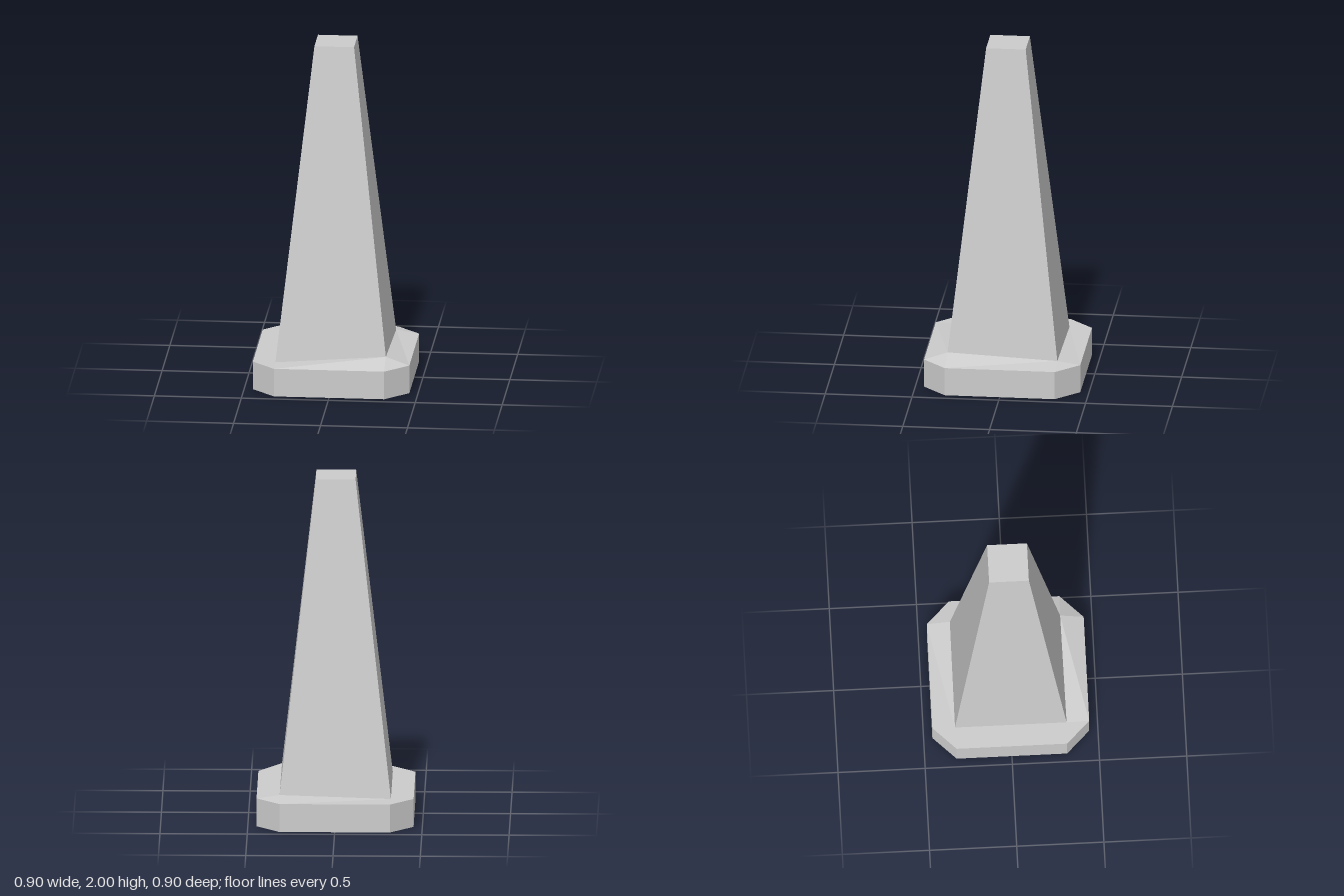
import * as THREE from 'three';

// Joins closed loops of equal length into flat-shaded bands, skipping collapsed triangles.
function loft(loops, capStart, capEnd) {
  const pos = [];
  const tri = (a, b, c) => {
    const area = b.clone().sub(a).cross(c.clone().sub(a)).length();
    if (area > 1e-7) for (const p of [a, b, c]) pos.push(p.x, p.y, p.z);
  };
  for (let k = 0; k < loops.length - 1; k++) {
    const lo = loops[k], hi = loops[k + 1], n = lo.length;
    for (let i = 0; i < n; i++) {
      const j = (i + 1) % n;
      tri(lo[i], lo[j], hi[j]);
      tri(lo[i], hi[j], hi[i]);
    }
  }
  const first = loops[0], last = loops[loops.length - 1];
  for (let i = 1; i < first.length - 1; i++) {
    if (capStart) tri(first[0], first[i + 1], first[i]);
    if (capEnd) tri(last[0], last[i], last[i + 1]);
  }
  const geo = new THREE.BufferGeometry();
  geo.setAttribute('position', new THREE.Float32BufferAttribute(pos, 3));
  geo.computeVertexNormals();
  return geo;
}

// Corner signs, anticlockwise seen from above, starting at front left.
const CORNERS = [[1, 1], [1, -1], [-1, -1], [-1, 1]];
const BASE_H = 0.165, HEIGHT = 2, FOOT = 0.32, TIP = 0.114;

// Square with cut corners: two points per corner.
function octagon(y, half, cut) {
  return CORNERS.flatMap(([sx, sz]) => {
    const alongX = new THREE.Vector3(sx * cut, y, sz * half);
    const alongZ = new THREE.Vector3(sx * half, y, sz * cut);
    return sx * sz > 0 ? [alongX, alongZ] : [alongZ, alongX];
  });
}

// Square cross-section of the tapering shaft, with its own height at each corner.
function shaftLoop(heights) {
  return CORNERS.map(([sx, sz], i) => {
    const t = (heights[i] - BASE_H) / (HEIGHT - BASE_H);
    const h = THREE.MathUtils.lerp(FOOT, TIP, t);
    return new THREE.Vector3(sx * h, heights[i], sz * h);
  });
}

export function createModel() {
  const group = new THREE.Group();
  const material = new THREE.MeshStandardMaterial({ color: 0xcccccc, flatShading: true });
  const add = (name, geo) => {
    const mesh = new THREE.Mesh(geo, material);
    mesh.name = name;
    group.add(mesh);
  };

  // The shaft meets the base slightly higher at its left corners.
  const foot = shaftLoop([0.213, 0.185, BASE_H, BASE_H]);
  const footDoubled = foot.flatMap((p) => [p, p]);

  // Base slab with cut corners and a sloping rim up to the shaft
  add('base', loft([octagon(0, 0.45, 0.317), octagon(BASE_H, 0.45, 0.317), footDoubled], true, false));

  // Tapering square shaft with a flat top
  add('shaft', loft([foot, shaftLoop([HEIGHT, HEIGHT, HEIGHT, HEIGHT])], false, true));

  return group;
}
